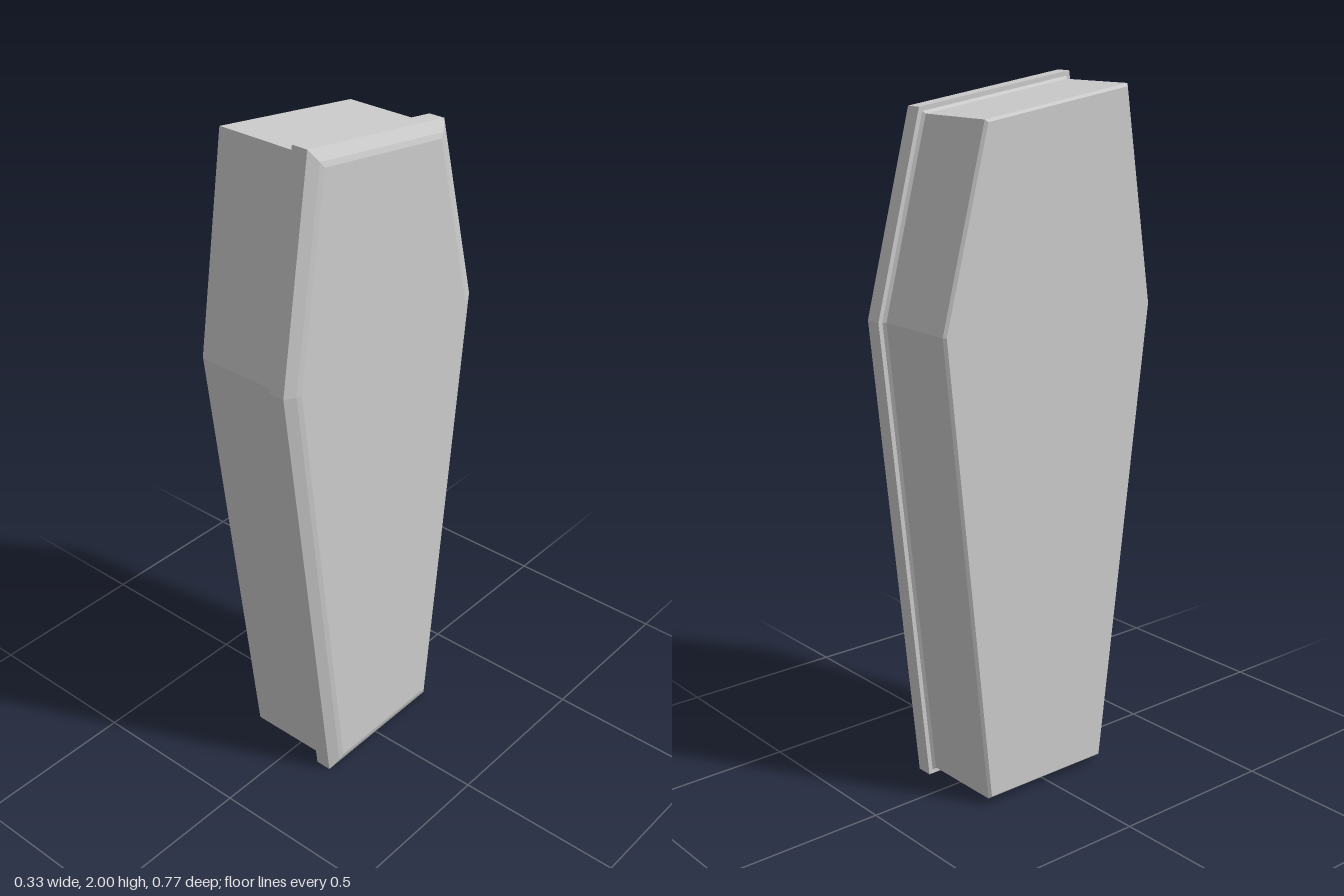
import * as THREE from 'three';

// Six-sided casket outline as [z, y], counter-clockwise when seen from +x
const OUTLINE = [[0.285, 2], [0.385, 1.37], [0.218, 0], [-0.24, 0], [-0.385, 1.37], [-0.24, 1.925]];

// Move every edge of the outline inward by d and intersect neighbours
function inset(d) {
  const n = OUTLINE.length;
  const edges = OUTLINE.map(([z, y], i) => {
    const [z2, y2] = OUTLINE[(i + 1) % n];
    const dir = new THREE.Vector2(z - z2, y2 - y).normalize();
    return { dir, p: new THREE.Vector2(-z - dir.y * d, y + dir.x * d) };
  });
  return edges.map((e, i) => {
    const prev = edges[(i + n - 1) % n];
    const t = e.p.clone().sub(prev.p).cross(e.dir) / prev.dir.cross(e.dir);
    const q = prev.p.clone().addScaledVector(prev.dir, t);
    return [-q.x, q.y];
  });
}

// Closed solid through rings given as [x, inset], ordered by rising x
function loft(name, sections, material) {
  const rings = sections.map(([x, d]) => inset(d).map(([z, y]) => [x, y, z]));
  const n = OUTLINE.length;
  const pos = [];
  const tri = (a, b, c) => pos.push(...a, ...b, ...c);
  for (let r = 0; r < rings.length - 1; r++) {
    for (let i = 0; i < n; i++) {
      const j = (i + 1) % n;
      tri(rings[r][i], rings[r][j], rings[r + 1][j]);
      tri(rings[r][i], rings[r + 1][j], rings[r + 1][i]);
    }
  }
  const low = rings[0];
  const high = rings[rings.length - 1];
  for (let i = 1; i < n - 1; i++) {
    tri(low[0], low[i + 1], low[i]);
    tri(high[0], high[i], high[i + 1]);
  }
  const geometry = new THREE.BufferGeometry();
  geometry.setAttribute('position', new THREE.Float32BufferAttribute(pos, 3));
  geometry.computeVertexNormals();
  const mesh = new THREE.Mesh(geometry, material);
  mesh.name = name;
  return mesh;
}

export function createModel() {
  const group = new THREE.Group();
  group.name = 'casket';
  const material = new THREE.MeshStandardMaterial({ color: 0xcccccc, flatShading: true });

  // Deep box with a fine chamfer round its back and a small flare under the lid
  group.add(loft('casketBody', [[-0.165, 0.027], [-0.157, 0.02], [0.087, 0.02], [0.095, 0.013]], material));

  // Overhanging lid with a broad bevelled rim
  group.add(loft('casketLid', [[0.095, 0], [0.143, 0], [0.16, 0.03], [0.164, 0.045]], material));

  return group;
}
